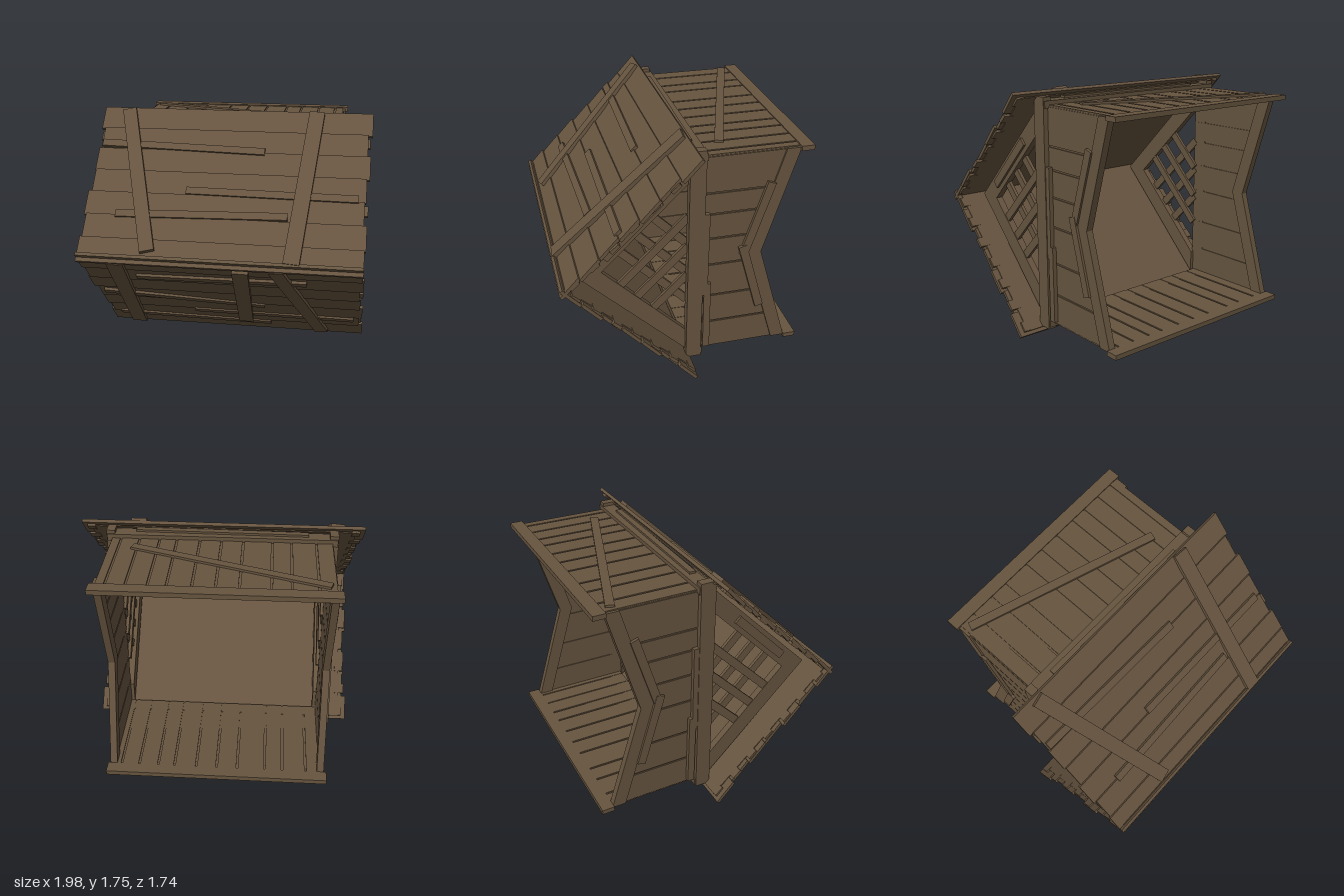
import * as THREE from 'three';

const wood = new THREE.MeshStandardMaterial({ color: 0x66543f });
wood.name = 'weathered wood';
const V = (x, y, z) => new THREE.Vector3(x, y, z);
const MID = 0.89; // height of the ridge and mirror plane

export function createModel() {
  const model = new THREE.Group();
  model.name = 'toppledShed';
  const section = (name) => {
    const g = new THREE.Group();
    g.name = name;
    model.add(g);
    return g;
  };

  // A straight board from a to b, w wide, t thick, facing along normal n
  function board(parent, name, a, b, w, t, n) {
    const dir = b.clone().sub(a);
    const len = dir.length();
    dir.normalize();
    const side = dir.clone().cross(n).normalize();
    const up = side.clone().cross(dir);
    const m = new THREE.Mesh(new THREE.BoxGeometry(len, t, w), wood);
    m.name = name;
    m.quaternion.setFromRotationMatrix(new THREE.Matrix4().makeBasis(dir, up, side));
    m.position.copy(a).add(b).multiplyScalar(0.5);
    parent.add(m);
  }

  // A flat plate from [z, y] corners, between x0 and x0 + t
  function plate(parent, name, pts, x0, t) {
    const shape = new THREE.Shape(pts.map(([z, y]) => new THREE.Vector2(-z, y)));
    const geo = new THREE.ExtrudeGeometry(shape, { depth: t, bevelEnabled: false });
    geo.rotateY(Math.PI / 2);
    const m = new THREE.Mesh(geo, wood);
    m.name = name;
    m.position.x = x0;
    parent.add(m);
  }

  // Roof: two slopes meeting at the ridge
  const LEN = 1.27, DY = 0.69, DZ = 0.724;
  const ends = [[0.97, 0.96], [0.96, 0.97], [0.98, 0.95], [0.96, 0.96], [0.97, 0.98], [0.96, 0.96], [0.99, 0.99]];
  const braces = {
    1: [[-0.8, 1.75, -0.48, 0.95, 0.1], [0.59, 1.76, 0.49, 0.92, 0.11]],
    '-1': [[-0.7, 0.86, -0.79, 0.03, 0.115], [0.15, 0.83, 0.1, 0.14, 0.11], [0.39, 0.86, 0.68, 0.04, 0.1]],
  };
  const battens = {
    1: [[-0.95, 1.545, 0.24, 1.52], [-0.28, 1.285, 0.91, 1.275], [-0.75, 1.145, 0.44, 1.165]],
    '-1': [[-0.6, 0.69, 0.59, 0.71], [-0.92, 0.465, 0.27, 0.375], [-0.28, 0.255, 0.92, 0.235], [-0.9, 0.15, 0.29, 0.12]],
  };
  for (const s of [1, -1]) {
    const roof = section(s > 0 ? 'upperRoof' : 'lowerRoof');
    const n = V(0, s * DZ, DY);
    // point on the slope at distance d from the ridge, h out of the face
    const at = (x, d, h) => V(x, MID + s * (d * DY + h * DZ), 0.87 - d * DZ + h * DY);
    board(roof, 'roofLining', at(-0.93, LEN / 2, -0.05), at(0.93, LEN / 2, -0.05), LEN - 0.04, 0.008, n);
    // lapped planks, each raised at its eave edge
    const step = LEN / 7;
    const tilted = n.clone().applyAxisAngle(V(1, 0, 0), s * 0.07);
    ends.forEach(([l, r], i) => {
      const d = (i + 0.5) * step;
      board(roof, 'roofPlank', at(-l, d, -0.032), at(r, d, -0.032), step + 0.004, 0.024, tilted);
      // broken stub ends below the planks
      for (const e of [-1, 1]) {
        board(roof, 'plankStub', at(e * 0.9, d + 0.03, -0.045), at(e * (0.955 + 0.01 * (i % 3)), d + 0.03, -0.045), 0.075, 0.024, n);
      }
    });
    const onFace = (x, y, h) => at(x, (s * (y - MID)) / DY, h);
    for (const [x1, y1, x2, y2, w] of braces[s])
      board(roof, 'roofBrace', onFace(x1, y1, -0.006), onFace(x2, y2, -0.006), w, 0.03, n);
    for (const [x1, y1, x2, y2] of battens[s])
      board(roof, 'roofBatten', onFace(x1, y1, -0.014), onFace(x2, y2, -0.014), 0.055, 0.024, n);
  }

  // Upper and lower walls of upright planks with trim at both ends
  const cuts = [-0.77, -0.65, -0.48, -0.35, -0.15, 0, 0.15, 0.31, 0.43, 0.57, 0.7, 0.77];
  for (const s of [1, -1]) {
    const wall = section(s > 0 ? 'upperWall' : 'lowerWall');
    const n = V(0, s, 0);
    const y = (h) => MID + s * (0.765 + h);
    for (let i = 0; i < cuts.length - 1; i++) {
      const x = (cuts[i] + cuts[i + 1]) / 2;
      board(wall, 'wallPlank', V(x, y(0), -0.06), V(x, y(0), -0.82), cuts[i + 1] - cuts[i] - 0.014, 0.026, n);
    }
    board(wall, 'wallCore', V(0, y(0), -0.06), V(0, y(0), -0.81), 1.53, 0.01, n);
    board(wall, 'endTrim', V(-0.8, y(0.003), -0.838), V(0.8, y(0.003), -0.838), 0.09, 0.034, n);
    board(wall, 'frameBeam', V(-0.8, y(0.015), -0.11), V(0.8, y(0.015), -0.11), 0.1, 0.05, n);
    board(wall, 'frameBatten', V(-0.6, y(0.045), -0.1), V(0.6, y(0.045), -0.085), 0.045, 0.02, n);
    board(wall, 'diagonalBatten', V(-0.73, y(0.02), -0.74), V(0.6, y(0.02), -0.29), 0.06, 0.018, n);
  }

  // Side walls with a notched open edge, and the lattice gables
  const edge = (y) => -0.57 - (0.23 * Math.abs(y - MID)) / 0.77;
  const rows = [0.12, 0.34, 0.57, 0.83, 1.04, 1.23, 1.39, 1.66];
  for (const s of [1, -1]) {
    const wall = section(s > 0 ? 'leftWall' : 'rightWall');
    const n = V(s, 0, 0);
    const X = (x, t) => (s > 0 ? x - t : -x); // plate start for outer face at x
    for (let i = 0; i < rows.length - 1; i++) {
      const lo = rows[i] + 0.006, hi = rows[i + 1] - 0.006;
      const pts = [[-0.06, lo], [edge(lo), lo]];
      if (lo < MID && hi > MID) pts.push([edge(MID), MID]);
      pts.push([edge(hi), hi], [-0.06, hi]);
      plate(wall, 'sidePlank', pts, X(0.77, 0.026), 0.026);
    }
    plate(wall, 'sideCore', [[-0.06, 0.12], [-0.78, 0.12], [-0.56, MID], [-0.78, 1.66], [-0.06, 1.66]], X(0.762, 0.01), 0.01);
    for (const k of [1, -1]) {
      const top = MID + k * 0.77;
      plate(wall, 'notchTrim', [[-0.57, MID], [-0.8, top], [-0.7, top], [-0.47, MID]], X(0.782, 0.05), 0.05);
    }
    board(wall, 'sideBatten', V(s * 0.785, 1.43, -0.61), V(s * 0.785, 0.89, -0.44), 0.06, 0.022, n);
    board(wall, 'sideBatten', V(s * 0.788, 0.96, -0.43), V(s * 0.788, 0.44, -0.58), 0.06, 0.022, n);
    board(wall, 'cornerPost', V(s * 0.775, 0.07, -0.095), V(s * 0.775, 1.72, -0.095), 0.11, 0.06, n);
    board(wall, 'postBatten', V(s * 0.785, 0.14, -0.19), V(s * 0.785, 0.69, -0.185), 0.05, 0.03, n);
    board(wall, 'postBatten', V(s * 0.785, 0.6, -0.165), V(s * 0.785, 1.25, -0.165), 0.045, 0.03, n);

    // gable frame
    const gable = section(s > 0 ? 'leftGable' : 'rightGable');
    for (const k of [1, -1]) {
      plate(gable, 'gableRafter', [[0.73, MID], [-0.05, MID + k * 0.77], [-0.05, MID + k * 0.6], [0.55, MID]], X(0.77, 0.05), 0.05);
    }
    board(gable, 'gableBrace', V(s * 0.765, 1.0, 0.53), V(s * 0.765, 1.38, 0.15), 0.06, 0.045, n);
    // crossed lattice bars
    for (const k of [1, -1]) {
      for (const c of [-0.17, 0.06, 0.29]) {
        const p = (v) => V(s * (0.745 + k * 0.008), MID + (k * (c - v)) / 2, (c + v) / 2);
        board(gable, 'latticeBar', p(-0.1 - c), p(0.6), 0.058, 0.024, n);
      }
    }
  }
  return model;
}
